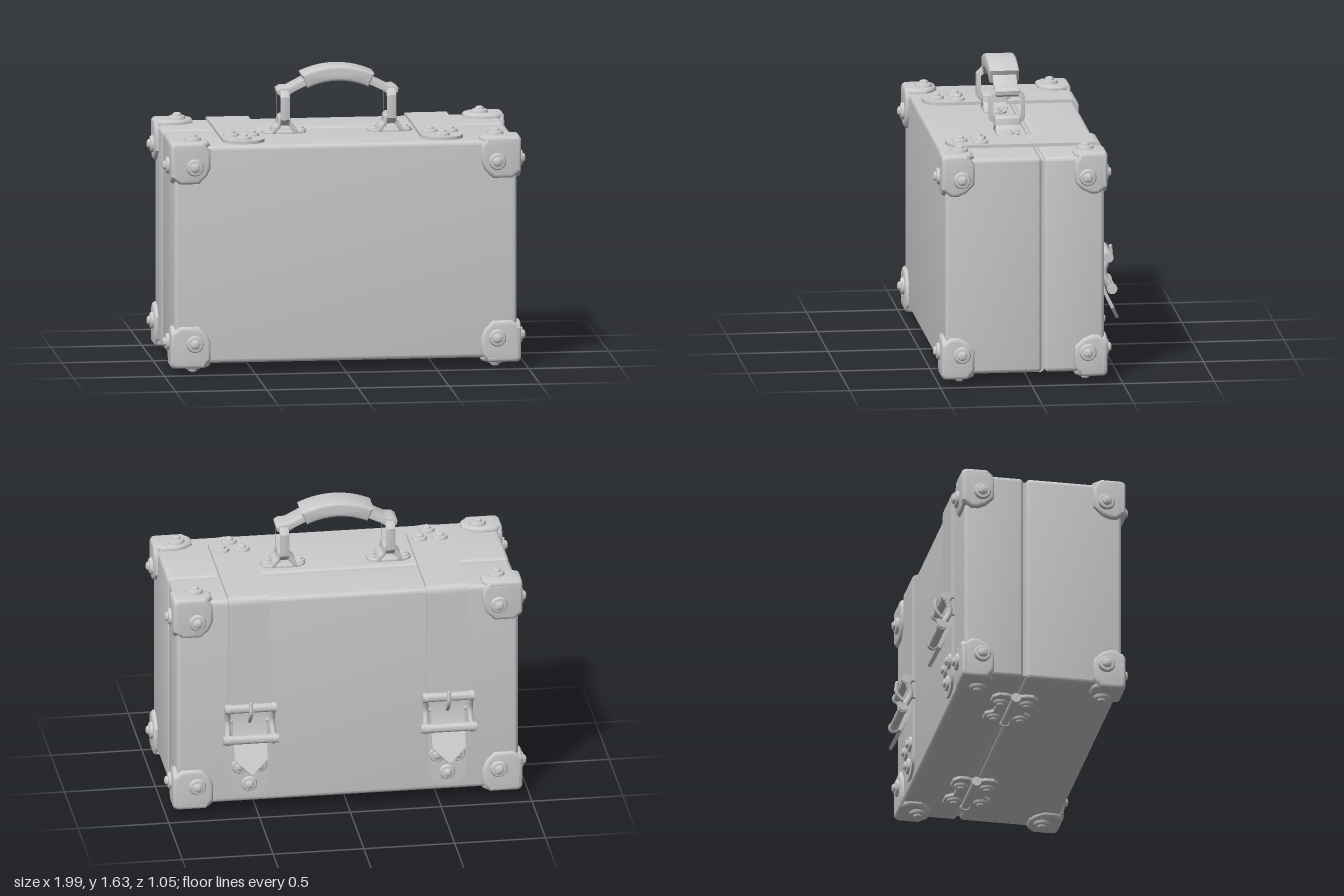
import * as THREE from 'three';
import { toCreasedNormals, mergeGeometries } from 'three/addons/utils/BufferGeometryUtils.js';
import { RoundedBoxGeometry } from 'three/addons/geometries/RoundedBoxGeometry.js';

const material = new THREE.MeshStandardMaterial({ color: 0xcccccc });
const V = (x, y, z) => new THREE.Vector3(x, y, z);
const CY = 0.66, CZ = 0.033; // centre of the case

function add(parent, name, geo, x = 0, y = 0, z = 0, crease = 0.6) {
  const mesh = new THREE.Mesh(toCreasedNormals(geo, crease), material);
  mesh.name = name;
  mesh.position.set(x, y, z);
  parent.add(mesh);
  return mesh;
}

function group(parent, name) {
  const g = new THREE.Group();
  g.name = name;
  parent.add(g);
  return g;
}

const outline = pts => new THREE.Shape(pts.map(p => new THREE.Vector2(p[0], p[1])));

// Bevelled slab filling 0..depth along z
function slab(shape, depth, bevel = 0.005, segs = 2) {
  const g = new THREE.ExtrudeGeometry(shape, {
    depth: depth - 2 * bevel, bevelThickness: bevel, bevelSize: bevel, bevelOffset: -bevel,
    bevelSegments: segs, curveSegments: 20,
  });
  return g.translate(0, 0, bevel);
}

// Mirrored copy of an unindexed geometry, its faces kept pointing outward
function mirrored(geo, sx, sy, sz) {
  const g = geo.clone().scale(sx, sy, sz);
  if (sx * sy * sz < 0) {
    const p = g.attributes.position, a = V(0, 0, 0), b = V(0, 0, 0);
    for (let i = 0; i < p.count; i += 3) {
      a.fromBufferAttribute(p, i + 1);
      b.fromBufferAttribute(p, i + 2);
      p.setXYZ(i + 1, b.x, b.y, b.z);
      p.setXYZ(i + 2, a.x, a.y, a.z);
    }
  }
  return g;
}

// Leather band following a path in (z, y); width(d0, d1) is the half width
function band(path, thickness, width, n) {
  const pts = path.getSpacedPoints(n), len = path.getLength();
  const g = new THREE.BoxGeometry(1, thickness, 1, 1, 1, n), p = g.attributes.position;
  for (let i = 0; i < p.count; i++) {
    const s = 0.5 - p.getZ(i), k = Math.round(s * n);
    const t = pts[Math.min(k + 1, n)].clone().sub(pts[Math.max(k - 1, 0)]).normalize();
    const w = width(s * len, (1 - s) * len), y = p.getY(i);
    p.setXYZ(i, 2 * w * p.getX(i), pts[k].y - t.x * y, pts[k].x + t.y * y);
  }
  return g;
}

// Half width near a rounded end
const roundEnd = (h, c, d) => d >= c ? h : h - c + Math.sqrt(Math.max(0, c * c - (c - d) ** 2));

// Domed rivet pointing along a direction
function rivet(parent, pos, dir, scale = 1) {
  const profile = [[0.047, -0.02], [0.047, 0.006], [0.041, 0.016], [0.026, 0.018], [0.023, 0.028], [0.014, 0.034], [0, 0.035]];
  const g = new THREE.LatheGeometry(profile.map(p => new THREE.Vector2(p[0], p[1])), 24);
  g.scale(scale, scale, scale);
  add(parent, 'rivet', g, pos.x, pos.y, pos.z).quaternion.setFromUnitVectors(V(0, 1, 0), dir);
}

// One corner guard plate, outer corner at the origin
function guardPlate(du, dv) {
  return slab(outline([
    [-0.03, 0], [-du + 0.04, 0], [-du, -0.05], [-du, -dv + 0.09], [-du + 0.02, -dv + 0.045], [-du + 0.065, -dv],
    [-0.05, -dv], [0, -dv + 0.04], [0, -0.03], [-0.009, -0.009],
  ]), 0.045, 0.02, 4).translate(0, 0, -0.045);
}

function cornerGuards(root) {
  const X = V(1, 0, 0), Y = V(0, 1, 0), Z = V(0, 0, 1);
  const [dx, dy, dz] = [0.22, 0.23, 0.18];
  const shell = mergeGeometries([
    guardPlate(dx, dy),
    guardPlate(dy, dz).applyMatrix4(new THREE.Matrix4().makeBasis(Y, Z, X)),
    guardPlate(dz, dx).applyMatrix4(new THREE.Matrix4().makeBasis(Z, X, Y)),
  ]).translate(0.962, 0.624, 0.455);
  for (const sx of [-1, 1]) for (const sy of [-1, 1]) for (const sz of [-1, 1]) {
    const g = group(root, 'cornerGuard');
    g.position.set(0, CY, CZ);
    add(g, 'guardShell', mirrored(shell, sx, sy, sz), 0, 0, 0, 0.7);
    rivet(g, V(sx * 0.83, sy * 0.488, sz * 0.455), V(0, 0, sz));
    rivet(g, V(sx * 0.962, sy * 0.488, sz * 0.345), V(sx, 0, 0));
    rivet(g, V(sx * 0.83, sy * 0.624, sz * 0.345), V(0, sy, 0));
  }
}

function strapAndBuckle(root, x) {
  const g = group(root, 'strap');
  g.position.x = x;
  // long strap over the top, down the back, ending in a loose pointed tip
  const path = new THREE.Path();
  path.moveTo(0.42, 1.268).lineTo(-0.385, 1.268);
  path.quadraticCurveTo(-0.416, 1.268, -0.416, 1.237).lineTo(-0.416, 0.58);
  path.quadraticCurveTo(-0.42, 0.48, -0.455, 0.41).lineTo(-0.522, 0.27);
  const tongue = d => d < 0.08 ? 0.01 + d : d < 0.38 ? 0.092 : 0.115;
  add(g, 'upperStrap', band(path, 0.018, (a, b) => Math.min(roundEnd(0.115, 0.1, a), tongue(b)), 180));
  // short strap riveted to the back
  const low = new THREE.Path().moveTo(-0.41, 0.66).lineTo(-0.41, 0.1);
  add(g, 'lowerStrap', band(low, 0.018, (a, b) => roundEnd(0.105, 0.09, b), 60));
  for (const [rx, r] of [[-0.056, 0], [0.056, 0], [0, 0.107]]) {
    rivet(g, V(rx, 1.277, 0.235 + r), V(0, 1, 0), 0.92);
    rivet(g, V(rx, 0.28 - r, -0.418), V(0, 0, -1), 0.92);
  }
  // buckle frame: two bars joined by curved sides, plus a prong
  const b = group(g, 'buckle');
  for (const [y, z, len] of [[0.635, -0.457, 0.285], [0.46, -0.478, 0.305]]) {
    add(b, 'buckleBar', new THREE.CylinderGeometry(0.024, 0.024, len, 16).rotateZ(Math.PI / 2), 0, y, z);
    for (const s of [-1, 1]) add(b, 'barCollar', new THREE.CylinderGeometry(0.029, 0.029, 0.022, 16).rotateZ(Math.PI / 2), s * 0.127, y, z);
  }
  for (const s of [-1, 1]) {
    const side = new THREE.CatmullRomCurve3([V(s * 0.127, 0.635, -0.457), V(s * 0.122, 0.55, -0.434), V(s * 0.127, 0.46, -0.478)]);
    add(b, 'buckleSide', new THREE.TubeGeometry(side, 14, 0.017, 8), 0, 0, 0, 1);
  }
  add(b, 'middleBar', new THREE.CylinderGeometry(0.014, 0.014, 0.25, 12).rotateZ(Math.PI / 2), 0, 0.545, -0.412);
  const prong = new THREE.CatmullRomCurve3([V(0, 0.54, -0.415), V(0, 0.565, -0.45), V(0, 0.615, -0.487), V(0, 0.67, -0.484)]);
  add(b, 'prong', new THREE.TubeGeometry(prong, 16, 0.011, 8), 0, 0, 0, 1);
  add(b, 'prongTip', new THREE.SphereGeometry(0.011, 10, 8), 0, 0.67, -0.484, 1);
}

function handle(root) {
  const g = group(root, 'handle');
  g.position.z = 0.055;
  // padded grip
  const grip = new THREE.Shape();
  grip.absarc(0, 1.157, 0.473, Math.PI / 2 - 0.437, Math.PI / 2 + 0.437, false);
  grip.absarc(0, 1.157, 0.392, Math.PI / 2 + 0.437, Math.PI / 2 - 0.437, true);
  add(g, 'grip', slab(grip, 0.165, 0.014, 3), 0, 0, -0.0825);
  for (const side of [0, 1]) {
    const m = group(g, 'handleMount');
    m.rotation.y = side * Math.PI;
    // leather loop from the grip around the ring
    const loop = outline([[0.16, 1.575], [0.22, 1.543], [0.275, 1.515], [0.31, 1.515], [0.333, 1.5], [0.33, 1.478], [0.305, 1.464], [0.275, 1.468], [0.235, 1.495], [0.16, 1.53]]);
    loop.holes.push(new THREE.Path().absarc(0.293, 1.49, 0.016, 0, Math.PI * 2, true));
    add(m, 'handleLoop', slab(loop, 0.13, 0.004), 0, 0, -0.065);
    // flat ring with clipped corners
    const ringPts = (w, c) => [[w - c, 1.405 + w], [w, 1.405 + w - c], [w, 1.405 - w + c], [w - c, 1.405 - w], [c - w, 1.405 - w], [-w, 1.405 - w + c], [-w, 1.405 + w - c], [c - w, 1.405 + w]];
    const ring = outline(ringPts(0.098, 0.035));
    ring.holes.push(outline(ringPts(0.079, 0.028)));
    add(m, 'ring', slab(ring, 0.05, 0.004).rotateY(Math.PI / 2), 0.267, 0, 0);
    // arched bracket holding the ring
    const arch = outline([[0.215, 1.262], [0.23, 1.295], [0.252, 1.31], [0.258, 1.345], [0.272, 1.358], [0.308, 1.358], [0.322, 1.345], [0.328, 1.31], [0.35, 1.295], [0.365, 1.262],
      [0.34, 1.262], [0.33, 1.282], [0.313, 1.297], [0.308, 1.335], [0.272, 1.335], [0.267, 1.297], [0.25, 1.282], [0.24, 1.262]]);
    add(m, 'bracket', slab(arch, 0.13, 0.003), 0, 0, -0.065);
    // foot plate with a rivet at each end
    const foot = outline([[0.22, -0.062], [0.36, -0.062], [0.395, -0.045], [0.412, -0.015], [0.412, 0.015], [0.395, 0.045], [0.36, 0.062], [0.22, 0.062], [0.185, 0.045], [0.168, 0.015], [0.168, -0.015], [0.185, -0.045]]);
    add(m, 'footPlate', slab(foot, 0.022, 0.004).rotateX(-Math.PI / 2), 0, 1.25, 0);
    for (const x of [0.2, 0.375]) rivet(m, V(x, 1.27, 0), V(0, 1, 0), 0.7);
  }
}

function hinge(root, x) {
  const g = group(root, 'hinge');
  g.position.set(x, 0, -0.075);
  add(g, 'hingePin', new THREE.CylinderGeometry(0.023, 0.023, 0.33, 16).rotateZ(Math.PI / 2), 0, 0.042, 0);
  for (const s of [-1, 1]) add(g, 'pinCap', new THREE.CylinderGeometry(0.027, 0.027, 0.02, 16).rotateZ(Math.PI / 2), s * 0.16, 0.042, 0);
  // two leaves, each with two lobes
  const leaf = outline([[-0.155, 0.005], [0.155, 0.005], [0.18, 0.05], [0.18, 0.095], [0.145, 0.125], [0.075, 0.125], [0.04, 0.085],
    [-0.04, 0.085], [-0.075, 0.125], [-0.145, 0.125], [-0.18, 0.095], [-0.18, 0.05]]);
  for (const s of [-1, 1]) {
    const geo = slab(leaf, 0.024, 0.005).rotateX(Math.PI / 2).translate(0, 0.066, 0);
    add(g, 'hingeLeaf', s < 0 ? geo.rotateY(Math.PI) : geo);
    for (const rx of [-0.095, 0.095]) rivet(g, V(rx, 0.043, s * 0.073), V(0, -1, 0), 0.85);
  }
}

export function createModel() {
  const root = new THREE.Group();
  root.name = 'suitcase';
  // case halves with a narrow seam between
  add(root, 'frontShell', new RoundedBoxGeometry(1.88, 1.2, 0.53, 4, 0.024), 0, CY, 0.203);
  add(root, 'backShell', new RoundedBoxGeometry(1.88, 1.2, 0.328, 4, 0.024), 0, CY, -0.241);
  add(root, 'seamCore', new THREE.BoxGeometry(1.84, 1.16, 0.2), 0, CY, -0.07);
  cornerGuards(root);
  for (const s of [-1, 1]) {
    strapAndBuckle(root, s * 0.545);
    hinge(root, s * 0.55);
  }
  handle(root);
  return root;
}
